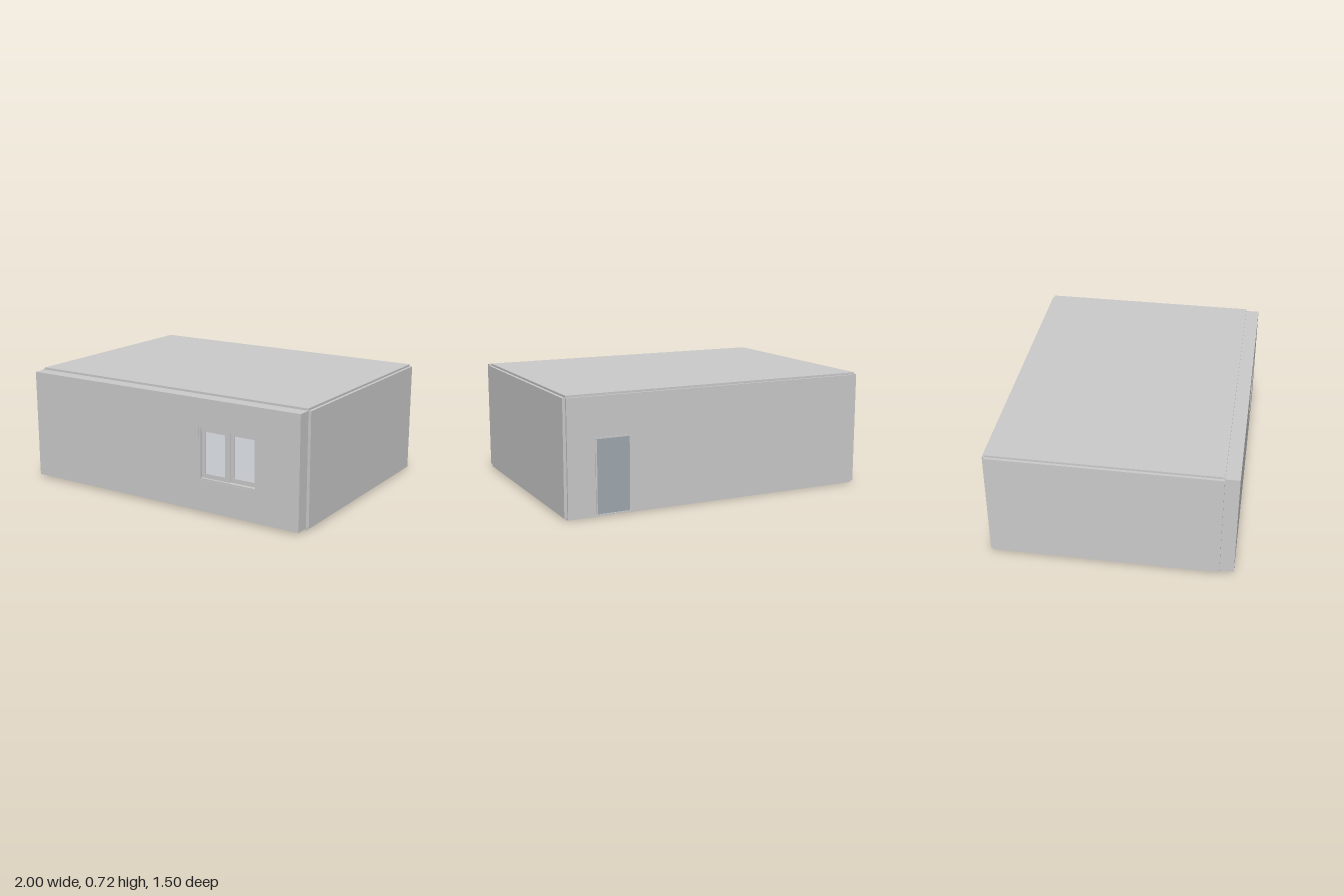
import * as THREE from 'three';

const grey = new THREE.MeshStandardMaterial({ color: 0xcccccc });
const paneMat = new THREE.MeshStandardMaterial({ color: 0xe4eaee });
const doorMat = new THREE.MeshStandardMaterial({ color: 0xa0aab0 });

// Box given by its two extreme corners
function slab(name, [x0, y0, z0], [x1, y1, z1], material = grey) {
  const mesh = new THREE.Mesh(new THREE.BoxGeometry(x1 - x0, y1 - y0, z1 - z0), material);
  mesh.name = name;
  mesh.position.set((x0 + x1) / 2, (y0 + y1) / 2, (z0 + z1) / 2);
  return mesh;
}

// Upright rectangular panel with a rectangular hole, from z0 to z1
function holed(name, [x0, y0, x1, y1], [a0, b0, a1, b1], z0, z1) {
  const rect = (C, l, b, r, t) => new C([[l, b], [r, b], [r, t], [l, t]].map(p => new THREE.Vector2(...p)));
  const shape = rect(THREE.Shape, x0, y0, x1, y1);
  shape.holes.push(rect(THREE.Path, a0, b0, a1, b1));
  const mesh = new THREE.Mesh(new THREE.ExtrudeGeometry(shape, { depth: z1 - z0, bevelEnabled: false }), grey);
  mesh.name = name;
  mesh.position.z = z0;
  return mesh;
}

export function createModel() {
  const room = new THREE.Group();
  room.name = 'room';
  const W = 0.982, Y0 = 0.013, Y1 = 0.71, BACK = -0.733, FRONT = 0.665;

  // Floor and roof slabs
  room.add(slab('floor', [-W, 0, BACK], [W, Y0, FRONT]));
  room.add(slab('roof', [-W, Y1, BACK], [W, 0.723, FRONT]));

  // Thin side walls
  for (const [name, a, b] of [['leftWall', W, 1], ['rightWall', -1, -W]])
    room.add(slab(name, [a, Y0, BACK], [b, Y1, FRONT]));

  // Thick front wall with the window opening, thin back wall with the doorway
  room.add(holed('frontWall', [-W, Y0, W, Y1], [0.3, 0.21, 0.7, 0.535], FRONT, 0.752));
  room.add(holed('backWall', [-W, Y0, W, Y1], [0.59, Y0 + 0.001, 0.81, 0.47], -0.747, BACK));

  // Window: casing and two framed sashes
  const win = new THREE.Group();
  win.name = 'window';
  win.add(holed('windowCasing', [0.3, 0.21, 0.7, 0.535], [0.31, 0.22, 0.69, 0.525], FRONT, 0.75));
  win.add(slab('windowMullion', [0.493, 0.22, 0.70], [0.507, 0.525, 0.735]));
  for (const [side, x, z] of [['right', 0.31, 0.715], ['left', 0.507, 0.705]]) {
    const x1 = x + 0.183;
    win.add(holed(side + 'Sash', [x, 0.22, x1, 0.525], [x + 0.025, 0.247, x1 - 0.02, 0.505], z, z + 0.02));
    win.add(slab(side + 'Pane', [x + 0.023, 0.245, z + 0.007], [x1 - 0.018, 0.507, z + 0.013], paneMat));
  }
  room.add(win);

  // Door: slim frame standing just proud of the back wall, with the leaf inside
  const door = new THREE.Group();
  door.name = 'door';
  door.add(holed('doorFrame', [0.59, Y0, 0.81, 0.47], [0.598, Y0 + 0.004, 0.802, 0.462], -0.752, BACK));
  door.add(slab('doorLeaf', [0.598, Y0 + 0.004, -0.747], [0.802, 0.462, -0.737], doorMat));
  room.add(door);

  return room;
}
